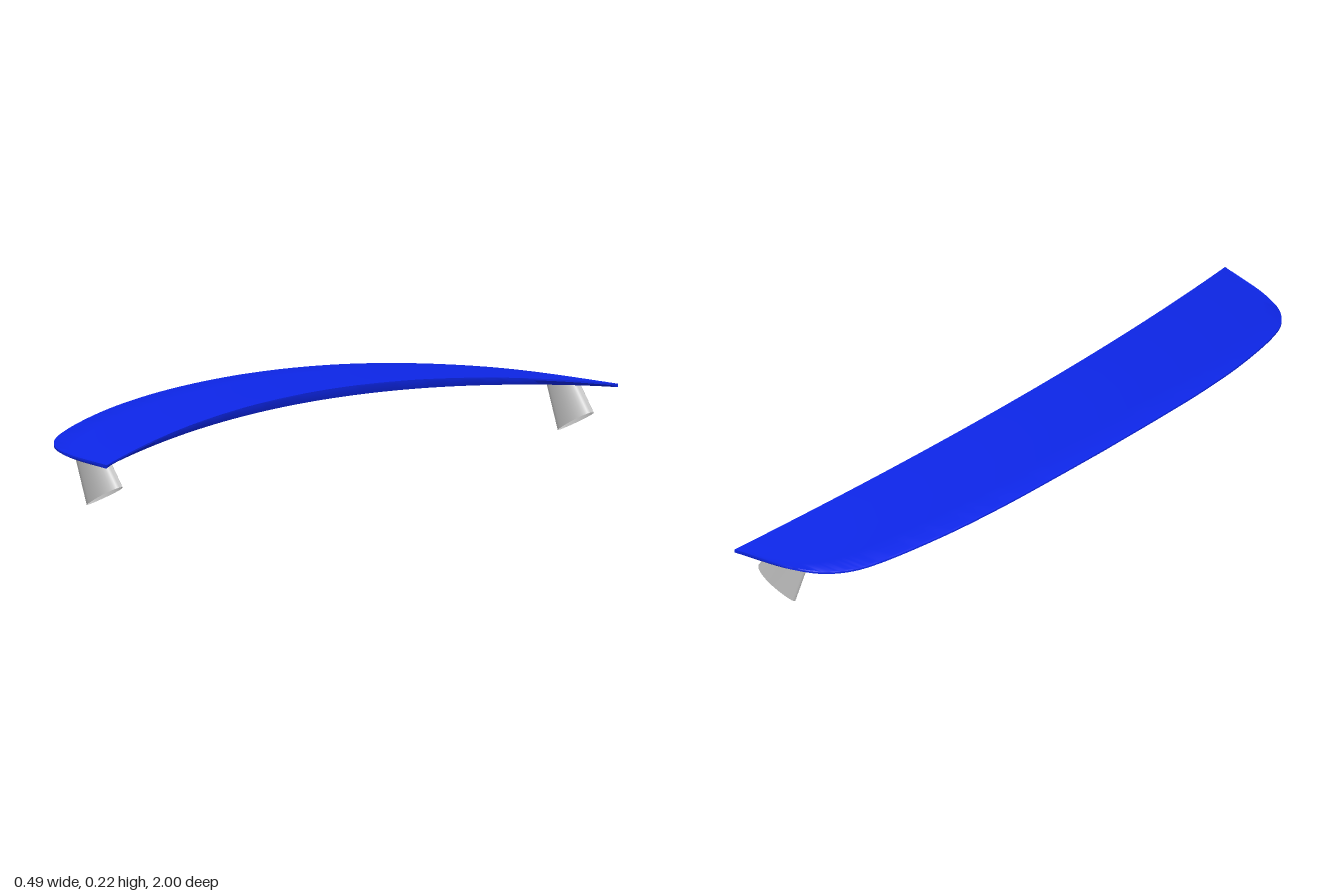
import * as THREE from 'three';
import { toCreasedNormals } from 'three/addons/utils/BufferGeometryUtils.js';

// Skin a list of closed cross-sections (arrays of [x, y, z])
function loft(rings, crease) {
  const n = rings[0].length;
  const index = [];
  for (let i = 0; i < rings.length - 1; i++) {
    for (let j = 0; j < n; j++) {
      const k = (j + 1) % n;
      const a = i * n + j, b = i * n + k, c = a + n, d = b + n;
      index.push(a, c, b, b, c, d);
    }
  }
  const geo = new THREE.BufferGeometry();
  geo.setAttribute('position', new THREE.Float32BufferAttribute(rings.flat(2), 3));
  geo.setIndex(index);
  return toCreasedNormals(geo, crease);
}

// Wing cross-section at span z, with its leading edge at xl
function wingSection(xl, z) {
  const xt = 0.11 + 0.132 * z * z;
  const y = 0.227 - 0.085 * z * z;
  const t = 0.01 + 0.02 * (1 - z * z);
  const w = Math.max(xt - xl, 0);
  const inset = Math.min(0.03, w * 0.12);
  const ring = [[xl, y - 0.002, z], [xl + inset * 0.2, y, z]];
  for (const s of [0.25, 0.5, 0.75]) ring.push([xl + w * s, y - 0.002 * Math.sin(Math.PI * s), z]);
  ring.push(
    [xt, y - 0.001, z], [xt, y - 0.006, z],
    [xt - inset * 0.3, y - t, z],
    [xl + w * 0.5, y - t, z],
    [xl + inset, y - t, z],
    [xl + inset * 0.5, y - 0.008 - (t - 0.008) * 0.6, z],
    [xl, y - 0.007, z],
  );
  return ring;
}

function wingGeometry() {
  // Leading edge in plan: x against span z, rounding into the tip
  const edge = new THREE.CatmullRomCurve3([
    [-0.245, -0.2], [-0.2455, 0], [-0.24, 0.2], [-0.224, 0.4], [-0.19, 0.6], [-0.13, 0.8],
    [-0.09, 0.875], [-0.03, 0.93], [0.06, 0.967], [0.242, 1],
  ].map(([x, z]) => new THREE.Vector3(x, 0, z)));
  const half = edge.getPoints(72).filter((p) => p.z > 0.01);
  const right = half.map((p) => wingSection(p.x, p.z));
  const left = half.map((p) => wingSection(p.x, -p.z)).reverse();
  return loft([...left, wingSection(-0.2455, 0), ...right], 0.6);
}

// Hollow teardrop strut, raked back and cut at a slant below
function strutGeometry() {
  const section = (front, back) => {
    const ring = [];
    for (let j = 0; j < 32; j++) {
      const a = (j / 32) * Math.PI * 2;
      const s = (1 + Math.cos(a)) / 2;
      ring.push([
        THREE.MathUtils.lerp(front[0], back[0], s),
        THREE.MathUtils.lerp(front[1], back[1], s),
        0.025 * Math.sin(a) * (0.9 + 0.3 * Math.cos(a)),
      ]);
    }
    return ring;
  };
  return loft([section([0.085, 0.002], [0.22, 0.068]), section([0.036, 0.142], [0.165, 0.142])], 0.9);
}

export function createModel() {
  const group = new THREE.Group();
  const blue = new THREE.MeshStandardMaterial({ color: 0x0d26e8 });
  const grey = new THREE.MeshStandardMaterial({ color: 0xcccccc, side: THREE.DoubleSide });

  const wing = new THREE.Mesh(wingGeometry(), blue);
  wing.name = 'wing';
  group.add(wing);

  // One strut under each tip
  const strutGeo = strutGeometry();
  for (const side of [1, -1]) {
    const strut = new THREE.Mesh(strutGeo, grey);
    strut.name = side > 0 ? 'frontStrut' : 'backStrut';
    strut.position.z = side * 0.92;
    group.add(strut);
  }
  return group;
}
